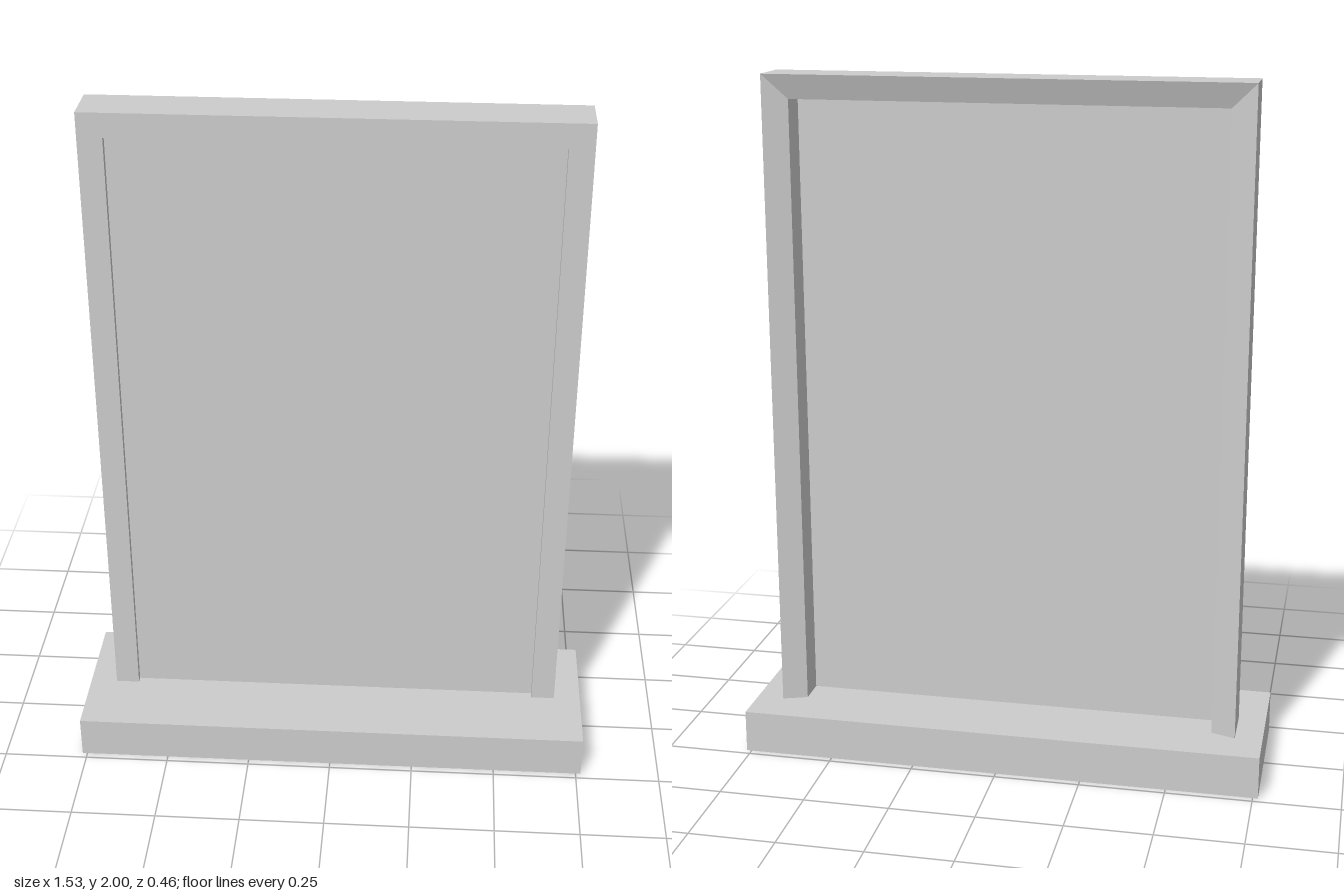
import * as THREE from 'three';

const W = 0.685, TOP = 2, BASE_H = 0.125;

// Three-sided frame: a cross-section swept up, across and down with mitred corners
function frameGeometry() {
  // [inset from outer edge, z]; the rear face slopes inward
  const profile = [[0, 0.025], [0.07, 0.025], [0.07, -0.09], [0, -0.115]];
  const stations = [
    (i, z) => [W - i, BASE_H, z],
    (i, z) => [W - i, TOP - i, z],
    (i, z) => [-W + i, TOP - i, z],
    (i, z) => [-W + i, BASE_H, z],
  ];
  const pos = [];
  for (let s = 0; s < 3; s++) {
    for (let j = 0; j < 4; j++) {
      const p = profile[j], q = profile[(j + 1) % 4];
      const a = stations[s](...p), b = stations[s + 1](...p);
      const c = stations[s + 1](...q), d = stations[s](...q);
      pos.push(...a, ...b, ...c, ...a, ...c, ...d);
    }
  }
  const g = new THREE.BufferGeometry();
  g.setAttribute('position', new THREE.Float32BufferAttribute(pos, 3));
  g.computeVertexNormals();
  return g;
}

export function createModel() {
  const group = new THREE.Group();
  const grey = new THREE.MeshStandardMaterial({ color: 0xcccccc });
  grey.name = 'light grey';

  const add = (name, geometry, x = 0, y = 0, z = 0) => {
    const mesh = new THREE.Mesh(geometry, grey);
    mesh.name = name;
    mesh.position.set(x, y, z);
    group.add(mesh);
  };

  // Plinth
  add('base', new THREE.BoxGeometry(1.53, BASE_H, 0.46), 0, BASE_H / 2, 0);

  // Surround
  add('frame', frameGeometry());

  // Thin panel set just behind the frame's front
  const panelH = 1.93 - BASE_H;
  add('panel', new THREE.BoxGeometry(1.23, panelH, 0.01), 0, BASE_H + panelH / 2, 0);

  return group;
}
